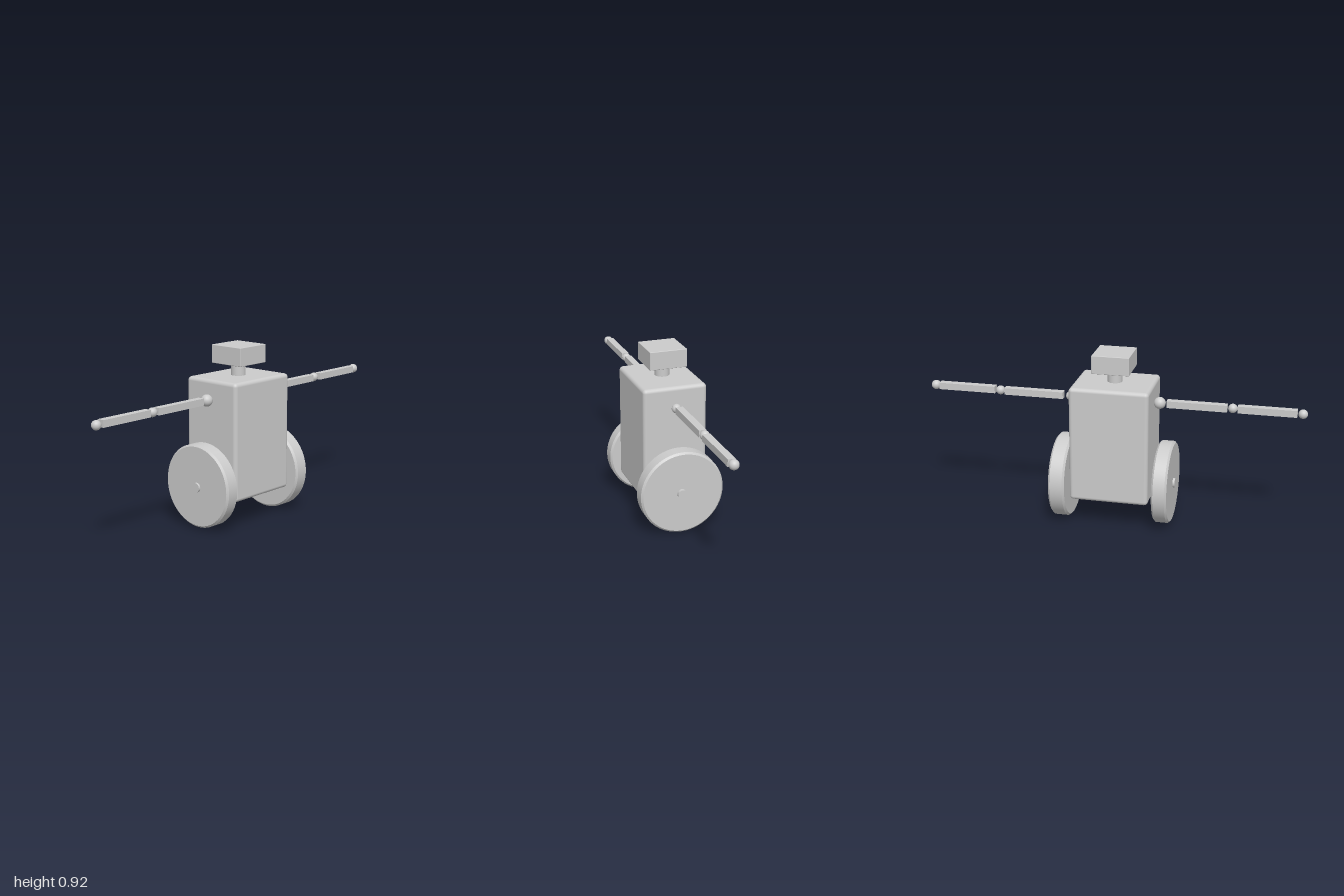
import * as THREE from 'three';
import { RoundedBoxGeometry } from 'three/addons/geometries/RoundedBoxGeometry.js';

const material = new THREE.MeshStandardMaterial({ color: 0xcccccc });

export function createModel() {
  const model = new THREE.Group();

  function add(name, geometry, x, y, z) {
    const mesh = new THREE.Mesh(geometry, material);
    mesh.name = name;
    mesh.position.set(x, y, z);
    model.add(mesh);
    return mesh;
  }

  // Body, neck and head
  add('body', new RoundedBoxGeometry(0.415, 0.615, 0.338, 4, 0.02), -0.012, 0.457, 0.003);
  add('neck', new THREE.CylinderGeometry(0.038, 0.038, 0.1, 32), -0.012, 0.8, 0.003);
  add('head', new RoundedBoxGeometry(0.196, 0.096, 0.198, 2, 0.003), -0.008, 0.875, 0.002);

  // Axle through both wheels
  add('axle', new THREE.CylinderGeometry(0.025, 0.025, 0.65, 32), -0.012, 0.225, 0.003).rotation.z = Math.PI / 2;

  // Solid disc wheels with a bevelled rim; separate profile segments keep the faces flat
  function wheel(name, radius, width, x, y, z) {
    const h = width / 2, b = 0.01;
    const group = new THREE.Group();
    group.name = name;
    const profile = [[0, -h], [radius - b, -h], [radius, -h + b], [radius, h - b], [radius - b, h], [0, h]];
    for (let i = 0; i < profile.length - 1; i++) {
      const points = [profile[i], profile[i + 1]].map(([r, t]) => new THREE.Vector2(r, t));
      group.add(new THREE.Mesh(new THREE.LatheGeometry(points, 64), material));
    }
    group.rotation.z = Math.PI / 2;
    group.position.set(x, y, z);
    model.add(group);
  }
  wheel('rightWheel', 0.217, 0.08, -0.286, 0.229, 0);
  wheel('leftWheel', 0.222, 0.086, 0.254, 0.226, -0.002);

  // Arms: ball joints [x, y, z, radius] and square bars [x start, x end, y, z]
  function arm(side, joints, bars) {
    ['Shoulder', 'Elbow', 'Hand'].forEach((part, i) => {
      const [x, y, z, r] = joints[i];
      add(side + part, new THREE.SphereGeometry(r, 24, 16), x, y, z);
    });
    ['UpperArm', 'Forearm'].forEach((part, i) => {
      const [a, b, y, z] = bars[i];
      add(side + part, new THREE.BoxGeometry(Math.abs(b - a), 0.036, 0.038), (a + b) / 2, y, z);
    });
  }
  arm('right',
    [[-0.248, 0.664, 0.002, 0.031], [-0.624, 0.664, 0.002, 0.024], [-0.977, 0.661, 0.003, 0.024]],
    [[-0.286, -0.596, 0.664, 0.001], [-0.65, -0.949, 0.664, 0.001]]);
  arm('left',
    [[0.228, 0.664, 0.01, 0.024], [0.61, 0.668, 0.008, 0.024], [0.973, 0.67, 0.012, 0.025]],
    [[0.265, 0.585, 0.667, 0.009], [0.639, 0.949, 0.669, 0.013]]);

  return model;
}
